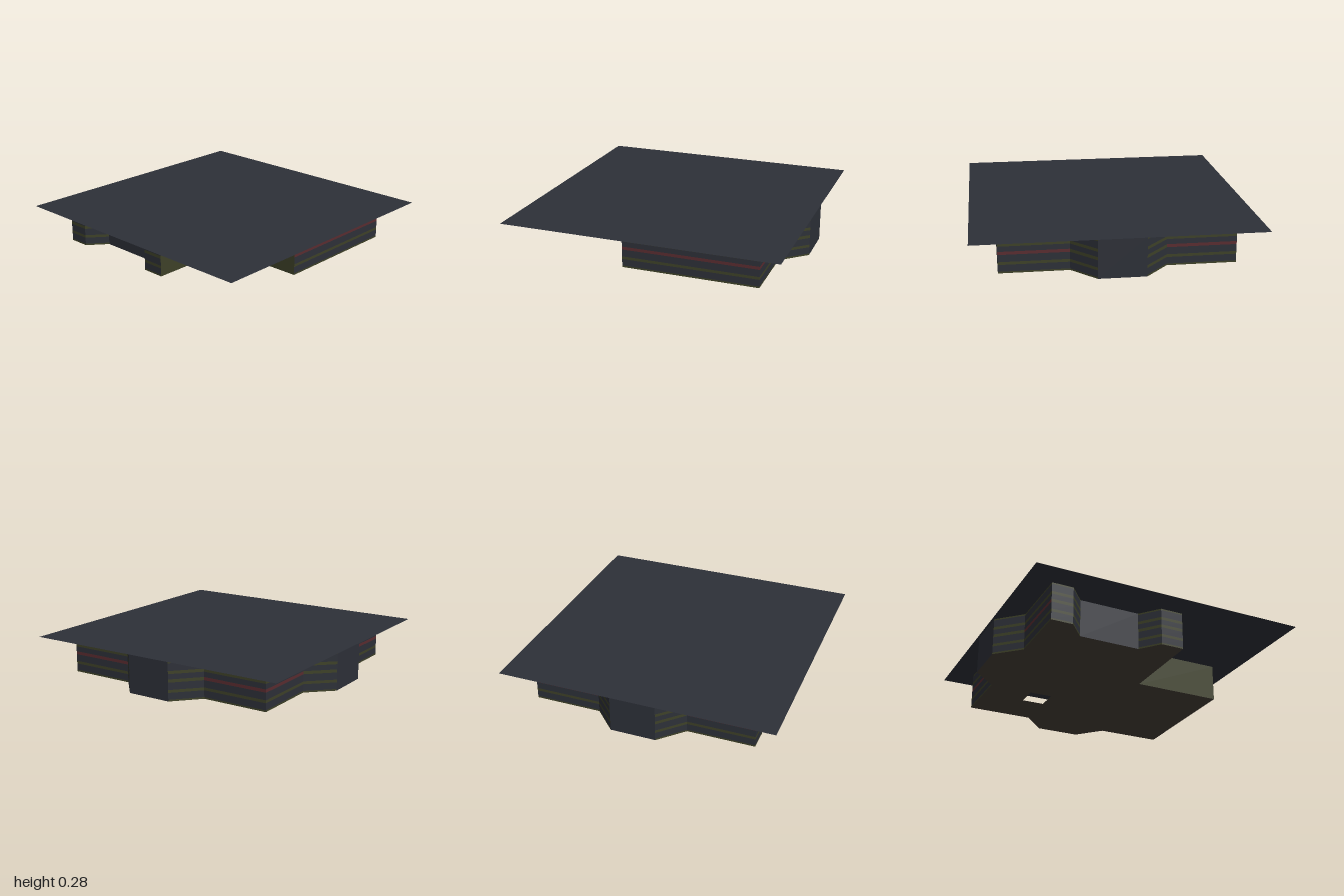
import * as THREE from 'three';
import { mergeGeometries } from 'three/addons/utils/BufferGeometryUtils.js';

const HEIGHT = 0.275;
const COLORS = { slate: 0x2d3038, olive: 0x3e4128, red: 0x5a2c30, brown: 0x463e37 };

// Footprint corners [x, z, style of the wall that starts here]
const OUTLINE = [
  [-0.165, 0.815, 'accent'],
  [0.815, 0.815, 'accent'],
  [0.815, 0.33, 'striped'],
  [0.995, 0.165, 'slate'], // right bay
  [0.995, -0.165, 'striped'],
  [0.815, -0.33, 'accent'],
  [0.815, -0.815, 'accent'],
  [0.33, -0.815, 'striped'],
  [0.165, -0.985, 'slate'], // back bay
  [-0.165, -0.985, 'striped'],
  [-0.33, -0.815, 'accent'],
  [-0.815, -0.815, 'striped'],
  [-0.815, -0.66, 'striped'],
  [-0.68, -0.55, 'slate'], // left recess
  [-0.68, -0.11, 'striped'],
  [-0.815, 0, 'striped'],
  [-0.815, 0.165, 'olive'], // front notch
  [-0.165, 0.165, 'olive'],
];

// Shaft corners, in the order that turns the walls inward
const SHAFT = [[0.335, -0.335], [0.335, -0.5], [0.5, -0.5], [0.5, -0.335]].reverse();

// Horizontal bands from bottom to top: [start, colour]
const BANDS = [
  [0, 'olive'], [0.012, 'slate'], [0.06, 'olive'], [0.08, 'slate'], [0.131, 'middle'],
  [0.153, 'slate'], [0.19, 'olive'], [0.211, 'slate'], [0.264, 'olive'],
];

// Upright rectangle above the line from a to b
function wall(a, b, y0, y1) {
  const dx = b[0] - a[0], dz = b[1] - a[1];
  return new THREE.PlaneGeometry(Math.hypot(dx, dz), y1 - y0)
    .rotateY(Math.atan2(-dz, dx))
    .translate((a[0] + b[0]) / 2, (y0 + y1) / 2, (a[1] + b[1]) / 2);
}

export function createModel() {
  const model = new THREE.Group();
  const add = (name, geometry, color, side = THREE.FrontSide) => {
    const mesh = new THREE.Mesh(geometry, new THREE.MeshStandardMaterial({ color: COLORS[color], side }));
    mesh.name = name;
    model.add(mesh);
  };

  // Outer walls, gathered by colour
  const panels = { slate: [], olive: [], red: [] };
  OUTLINE.forEach((a, i) => {
    const b = OUTLINE[(i + 1) % OUTLINE.length];
    const style = a[2];
    if (style === 'slate' || style === 'olive') {
      panels[style].push(wall(a, b, 0, HEIGHT));
      return;
    }
    BANDS.forEach(([y0, band], k) => {
      const y1 = k + 1 < BANDS.length ? BANDS[k + 1][0] : HEIGHT;
      const color = band !== 'middle' ? band : style === 'accent' ? 'red' : 'olive';
      panels[color].push(wall(a, b, y0, y1));
    });
  });
  add('wallPanels', mergeGeometries(panels.slate), 'slate');
  add('wallTrim', mergeGeometries(panels.olive), 'olive');
  add('accentStripe', mergeGeometries(panels.red), 'red');

  // Underside with the square shaft opening
  const toPoints = (list) => list.map(([x, z]) => new THREE.Vector2(x, z));
  const footprint = new THREE.Shape(toPoints(OUTLINE));
  footprint.holes.push(new THREE.Path(toPoints(SHAFT)));
  add('underside', new THREE.ShapeGeometry(footprint).rotateX(Math.PI / 2), 'brown');

  // Shaft lining
  const lining = SHAFT.map((a, i) => wall(a, SHAFT[(i + 1) % 4], 0, HEIGHT));
  add('shaftLining', mergeGeometries(lining), 'olive');

  // Thin square deck on top
  const deck = new THREE.PlaneGeometry(2, 2).rotateX(-Math.PI / 2).translate(0, HEIGHT, 0);
  add('deck', deck, 'slate', THREE.DoubleSide);

  return model;
}
